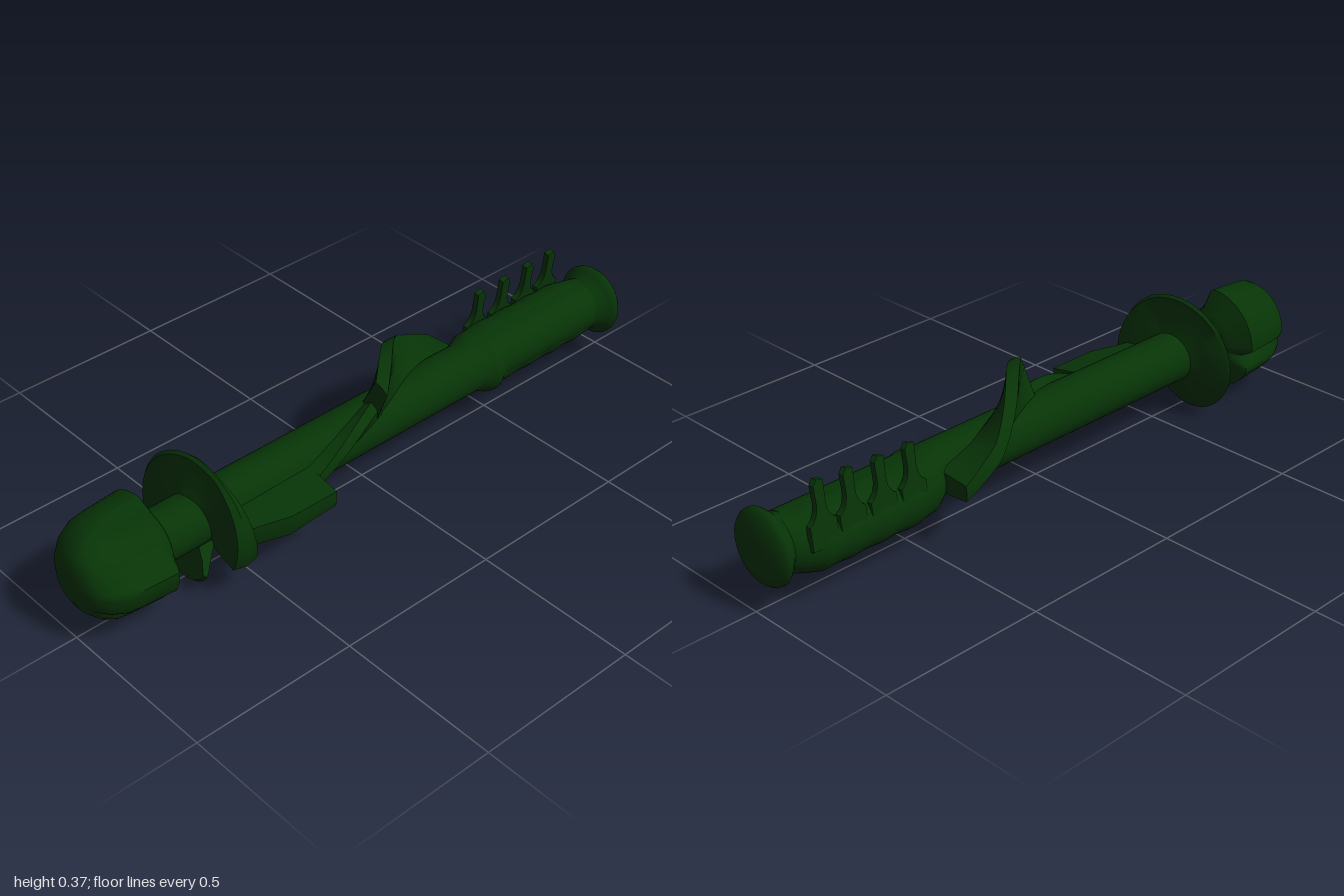
import * as THREE from 'three';
import { toCreasedNormals } from 'three/addons/utils/BufferGeometryUtils.js';

const CY = 0.177, CZ = -0.004; // centre line of the shaft
const rad = THREE.MathUtils.degToRad;
const lerp = THREE.MathUtils.lerp;
const material = new THREE.MeshStandardMaterial({ color: 0x073407, side: THREE.DoubleSide });

// Point around the shaft: angle 0 is the front, 90 is the top
const polar = (x, deg, r) => [x, CY + r * Math.sin(rad(deg)), CZ + r * Math.cos(rad(deg))];

// Piecewise line through [position, value] pairs
function profile(pairs) {
  return (x) => {
    let i = 0;
    while (i < pairs.length - 2 && x > pairs[i + 1][0]) i++;
    const [a, b] = [pairs[i], pairs[i + 1]];
    return lerp(a[1], b[1], THREE.MathUtils.clamp((x - a[0]) / (b[0] - a[0]), 0, 1));
  };
}

// Skin a list of equal closed loops and cap both ends
function skin(rows, crease = 0.7) {
  const n = rows[0].length, index = [];
  rows.slice(1).forEach((_, i) => {
    for (let j = 0; j < n; j++) {
      const a = i * n + j, b = i * n + (j + 1) % n;
      index.push(a, a + n, b, b, a + n, b + n);
    }
  });
  const last = (rows.length - 1) * n;
  for (let j = 1; j < n - 1; j++) {
    index.push(0, j, j + 1, last, last + j + 1, last + j);
  }
  const g = new THREE.BufferGeometry();
  g.setAttribute('position', new THREE.Float32BufferAttribute(rows.flat(2), 3));
  g.setIndex(index);
  return toCreasedNormals(g, crease);
}

// Twisting fin: f(t) gives x, angle, tip radius and half widths in degrees
function fin(steps, f) {
  const rows = [];
  for (let i = 0; i <= steps; i++) {
    const { x, deg, r, root, tip } = f(i / steps);
    const mid = lerp(root, tip, 0.7), rMid = lerp(0.08, r, 0.4);
    rows.push([
      polar(x, deg - root, 0.07), polar(x, deg - mid, rMid), polar(x, deg - tip, r), polar(x, deg, r * 1.01),
      polar(x, deg + tip, r), polar(x, deg + mid, rMid), polar(x, deg + root, 0.07),
    ]);
  }
  return skin(rows);
}

export function createModel() {
  const group = new THREE.Group();
  const add = (name, geometry) => {
    const mesh = new THREE.Mesh(geometry, material);
    mesh.name = name;
    group.add(mesh);
    return mesh;
  };

  // Straight round shaft
  const shaft = add('shaft', new THREE.CylinderGeometry(0.077, 0.077, 1.7, 40));
  shaft.rotation.z = -Math.PI / 2;
  shaft.position.set(0.06, CY, CZ);

  // Head of cupped lobes: full at the top, back and bottom, hollowed at the upper front
  const headRadius = profile([[-1, 0.03], [-0.995, 0.065], [-0.98, 0.095], [-0.95, 0.125], [-0.91, 0.145],
    [-0.87, 0.15], [-0.82, 0.153], [-0.765, 0.157], [-0.735, 0.092], [-0.72, 0.06]]);
  const lobes = profile([[0, 0.97], [12, 0.72], [30, 0.62], [62, 0.62], [75, 0.72], [86, 1], [180, 1], [193, 0.72],
    [206, 1], [298, 1], [315, 0.7], [330, 0.97], [360, 0.97]]);
  const grooving = profile([[-1, 0], [-0.94, 0.55], [-0.85, 1], [-0.765, 1.05], [-0.735, 0.2], [-0.72, 0]]);
  const headRows = [];
  for (const x of [-1, -0.995, -0.98, -0.965, -0.95, -0.93, -0.91, -0.87, -0.84, -0.8, -0.765, -0.735, -0.72]) {
    const row = [];
    for (let j = 0; j < 90; j++) {
      const deg = j * 4;
      row.push(polar(x, deg, headRadius(x) * lerp(1, lobes(deg), grooving(x))));
    }
    headRows.push(row);
  }
  add('head', skin(headRows, 0.9));

  // Spiral guard: one open turn, thick where it starts, notched at the lower front
  const guardX = profile([[-25, -0.565], [90, -0.585], [180, -0.622], [270, -0.642], [317, -0.652]]);
  const rootX = profile([[-25, -0.565], [90, -0.595], [180, -0.598], [317, -0.595]]);
  const guardRows = [];
  for (let i = 0; i <= 60; i++) {
    const t = i / 60, deg = lerp(-25, 317, t), x = guardX(deg), rx = rootX(deg), m = lerp(rx, x, 0.6);
    const r = 0.193 - 0.035 * Math.pow(t, 6);
    const half = lerp(0.04, 0.009, Math.min(1, t * 4));
    guardRows.push([
      polar(rx + 0.035, deg, 0.06), polar(m + half + 0.006, deg, 0.115), polar(x + half, deg, r - 0.008),
      polar(x, deg, r), polar(x - half, deg, r - 0.008), polar(m - half - 0.004, deg, 0.115),
      polar(rx - 0.03, deg, 0.06),
    ]);
  }
  add('guard', skin(guardRows));

  // Front fin, low ridge and rear fin follow one line around the shaft
  const frontRadius = profile([[0, 0.14], [0.25, 0.16], [0.5, 0.183], [1, 0.184]]);
  add('frontFin', fin(20, (t) => ({
    x: lerp(-0.57, -0.255, t), deg: lerp(-11, -6, t), r: frontRadius(t), root: 30, tip: lerp(14, 8, t),
  })));
  add('ridge', fin(24, (t) => ({
    x: lerp(-0.26, 0.03, t), deg: lerp(-3, 66, t), r: lerp(0.112, 0.1, t), root: 28, tip: 9,
  })));
  const finAngle = profile([[0.005, 64], [0.1, 92], [0.2, 124], [0.3, 156], [0.43, 180]]);
  add('rearFin', fin(40, (t) => {
    const x = lerp(0.005, 0.43, t);
    return { x, deg: finAngle(x), r: 0.183 - 0.012 * t, root: 28, tip: 8 };
  }));

  // Grip swelling down and back, with faint finger hollows
  const swell = profile([[0.4, 0], [0.46, 0.75], [0.52, 1], [0.84, 1], [0.9, 0.6], [0.94, 0.1]]);
  const gripRows = [];
  for (let i = 0; i <= 54; i++) {
    const x = lerp(0.4, 0.94, i / 54), s = swell(x), row = [];
    const wave = 0.0015 * s * Math.cos((x - 0.55) * Math.PI * 2 / 0.1);
    const bulge = 0.02 * Math.exp(-Math.pow((x - 0.48) / 0.03, 2));
    for (let j = 0; j < 40; j++) {
      const deg = j * 9, [, y, z] = polar(x, deg, 0.076 + 0.017 * s + wave + bulge * Math.max(0, Math.cos(rad(deg))));
      row.push([x, y - 0.014 * s, z - 0.024 * s]);
    }
    gripRows.push(row);
  }
  add('grip', skin(gripRows, 1));

  // Four upright prongs with flared feet along the back of the grip
  const prong = new THREE.Shape();
  prong.moveTo(-0.04, 0.02);
  prong.lineTo(-0.04, 0.085);
  prong.quadraticCurveTo(-0.014, 0.1, -0.013, 0.14);
  prong.lineTo(-0.014, 0.197);
  prong.lineTo(0.004, 0.202);
  prong.lineTo(0.014, 0.188);
  prong.lineTo(0.012, 0.14);
  prong.quadraticCurveTo(0.014, 0.1, 0.04, 0.085);
  prong.lineTo(0.04, 0.02);
  const prongGeometry = new THREE.ExtrudeGeometry(prong, {
    depth: 0.014, bevelEnabled: true, bevelSize: 0.003, bevelThickness: 0.003, bevelSegments: 2,
  });
  [0.552, 0.655, 0.757, 0.852].forEach((x, i) => {
    const mesh = add('prong' + (i + 1), prongGeometry);
    mesh.position.set(x, [0.145, 0.147, 0.153, 0.158][i], -0.117);
    mesh.rotation.x = 0.13;
  });

  // Flared pommel with a shallow domed end
  const pommelPoints = [[0.05, 0.88], [0.077, 0.9], [0.08, 0.925], [0.1, 0.945], [0.11, 0.958], [0.109, 0.968],
    [0.1, 0.98], [0.07, 0.991], [0.035, 0.998], [0, 1]].map(([r, x]) => new THREE.Vector2(r, x));
  const pommel = add('pommel', new THREE.LatheGeometry(pommelPoints, 40));
  pommel.rotation.z = -Math.PI / 2;
  pommel.position.set(0, CY - 0.002, CZ);

  return group;
}
